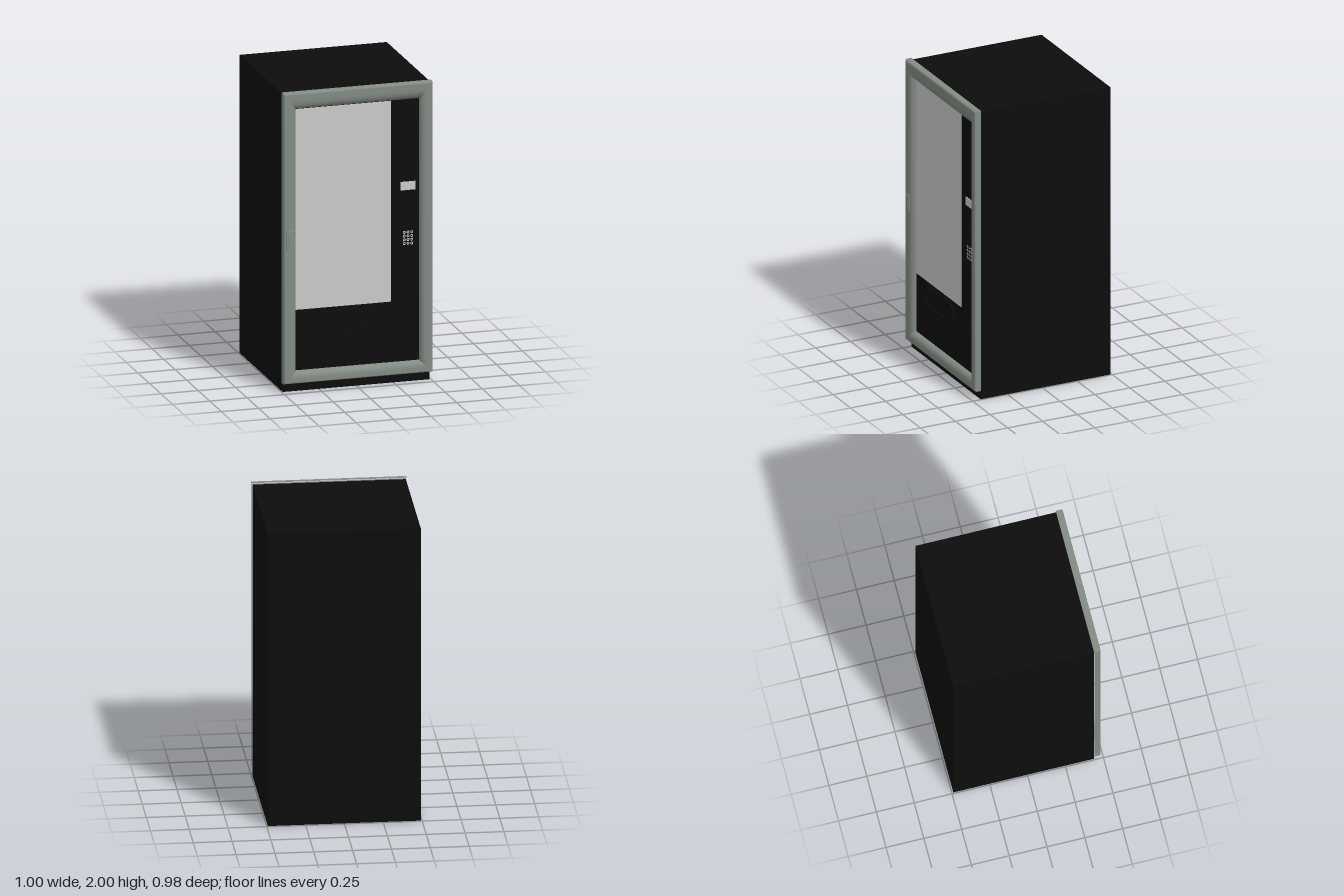
import * as THREE from 'three';
import { RoundedBoxGeometry } from 'three/addons/geometries/RoundedBoxGeometry.js';

const mat = (name, color, side = THREE.FrontSide) => {
  const m = new THREE.MeshStandardMaterial({ color, side });
  m.name = name;
  return m;
};

// Mitred rectangular door frame: a rounded section swept from the outer to the inner rectangle
function frameGeometry(outer, inner, section) {
  const corners = ([x0, y0, x1, y1]) => [[x0, y0], [x1, y0], [x1, y1], [x0, y1]];
  const o = corners(outer), n = corners(inner);
  const pos = [], index = [];
  for (let k = 0; k < 4; k++) {
    const base = pos.length / 3;
    section.forEach(([t, z]) => {
      for (const c of [k, (k + 1) % 4]) {
        pos.push(o[c][0] + (n[c][0] - o[c][0]) * t, o[c][1] + (n[c][1] - o[c][1]) * t, z);
      }
    });
    for (let j = 0; j < section.length - 1; j++) {
      const a = base + j * 2, b = a + 1, c = a + 3, d = a + 2;
      index.push(a, b, c, a, c, d);
    }
  }
  const g = new THREE.BufferGeometry();
  g.setAttribute('position', new THREE.Float32BufferAttribute(pos, 3));
  g.setIndex(index);
  g.computeVertexNormals();
  return g;
}

// Rounded horizontal outline, centred on the origin
function pill(w, h, r, Type = THREE.Shape) {
  const s = new Type(), x = w / 2, y = h / 2;
  s.moveTo(-x + r, -y);
  s.lineTo(x - r, -y);
  s.absarc(x - r, -y + r, r, -Math.PI / 2, 0, false);
  s.lineTo(x, y - r);
  s.absarc(x - r, y - r, r, 0, Math.PI / 2, false);
  s.lineTo(-x + r, y);
  s.absarc(-x + r, y - r, r, Math.PI / 2, Math.PI, false);
  s.lineTo(-x, -y + r);
  s.absarc(-x + r, -y + r, r, Math.PI, Math.PI * 1.5, false);
  return s;
}

export function createModel() {
  const black = mat('cabinet black', 0x0d0d0d);
  const grey = mat('frame grey', 0x848c84);
  const pale = mat('window pale grey', 0xcccccc);
  const model = new THREE.Group();
  model.name = 'vendingMachine';

  const add = (name, geometry, material, x, y, z, parent = model) => {
    const m = new THREE.Mesh(geometry, material);
    m.name = name;
    m.position.set(x, y, z);
    parent.add(m);
    return m;
  };
  const box = (name, w, h, d, material, x, y, z, parent) =>
    add(name, new THREE.BoxGeometry(w, h, d), material, x, y, z, parent);

  // Cabinet and door
  box('cabinet', 0.986, 1.99, 0.93, black, 0, 0.995, -0.025);
  add('doorFrame', frameGeometry([-0.5, 0.06, 0.5, 2], [-0.41, 0.14, 0.417, 1.885], [
    [0, 0.44], [0, 0.455], [0, 0.472], [0.025, 0.48], [0.07, 0.484], [0.12, 0.485], [0.45, 0.485],
    [0.62, 0.483], [0.78, 0.477], [0.9, 0.467], [0.98, 0.453], [1, 0.44],
  ]), grey, 0, 0, 0);
  box('frameBackTop', 0.99, 0.02, 0.004, grey, 0, 1.985, 0.443);
  box('doorPanel', 0.84, 1.75, 0.01, black, 0.003, 1.012, 0.441);
  box('window', 0.64, 1.34, 0.006, pale, -0.09, 1.213, 0.446);

  // Control column: display, coin slot, keypad
  box('display', 0.1, 0.056, 0.006, pale, 0.345, 1.307, 0.448);
  box('coinSlotPlate', 0.08, 0.03, 0.006, black, 0.345, 1.128, 0.448);
  const keypad = new THREE.Group();
  keypad.name = 'keypad';
  model.add(keypad);
  const ring = new THREE.RingGeometry(0.004, 0.01, 16);
  for (let row = 0; row < 4; row++) {
    for (let col = 0; col < 3; col++) {
      add('key', ring, pale, 0.32 + col * 0.025, 0.922 + row * 0.025, 0.448, keypad);
    }
  }

  // Delivery opening with rim and hinged flap
  const rim = pill(0.43, 0.15, 0.07);
  rim.holes.push(pill(0.39, 0.11, 0.05, THREE.Path));
  add('deliveryRim', new THREE.ExtrudeGeometry(rim, {
    depth: 0.008, bevelThickness: 0.004, bevelSize: 0.004, bevelSegments: 3, curveSegments: 10,
  }), black, -0.085, 0.44, 0.446);
  add('deliveryFlap', new THREE.ExtrudeGeometry(pill(0.38, 0.1, 0.045), {
    depth: 0.004, bevelEnabled: false, curveSegments: 10,
  }), black, -0.085, 0.44, 0.446);

  // Coin return cup
  add('coinReturn', new THREE.TorusGeometry(0.035, 0.006, 8, 24), black, 0.35, 0.44, 0.448);

  // Door handle: shallow plate and slanted grip
  add('handlePlate', new RoundedBoxGeometry(0.04, 0.12, 0.008, 3, 0.003), grey, -0.46, 1.02, 0.484);
  const grip = add('handleGrip', new RoundedBoxGeometry(0.014, 0.095, 0.008, 3, 0.003), grey, -0.46, 1.02, 0.486);
  grip.rotation.z = 0.12;

  return model;
}
